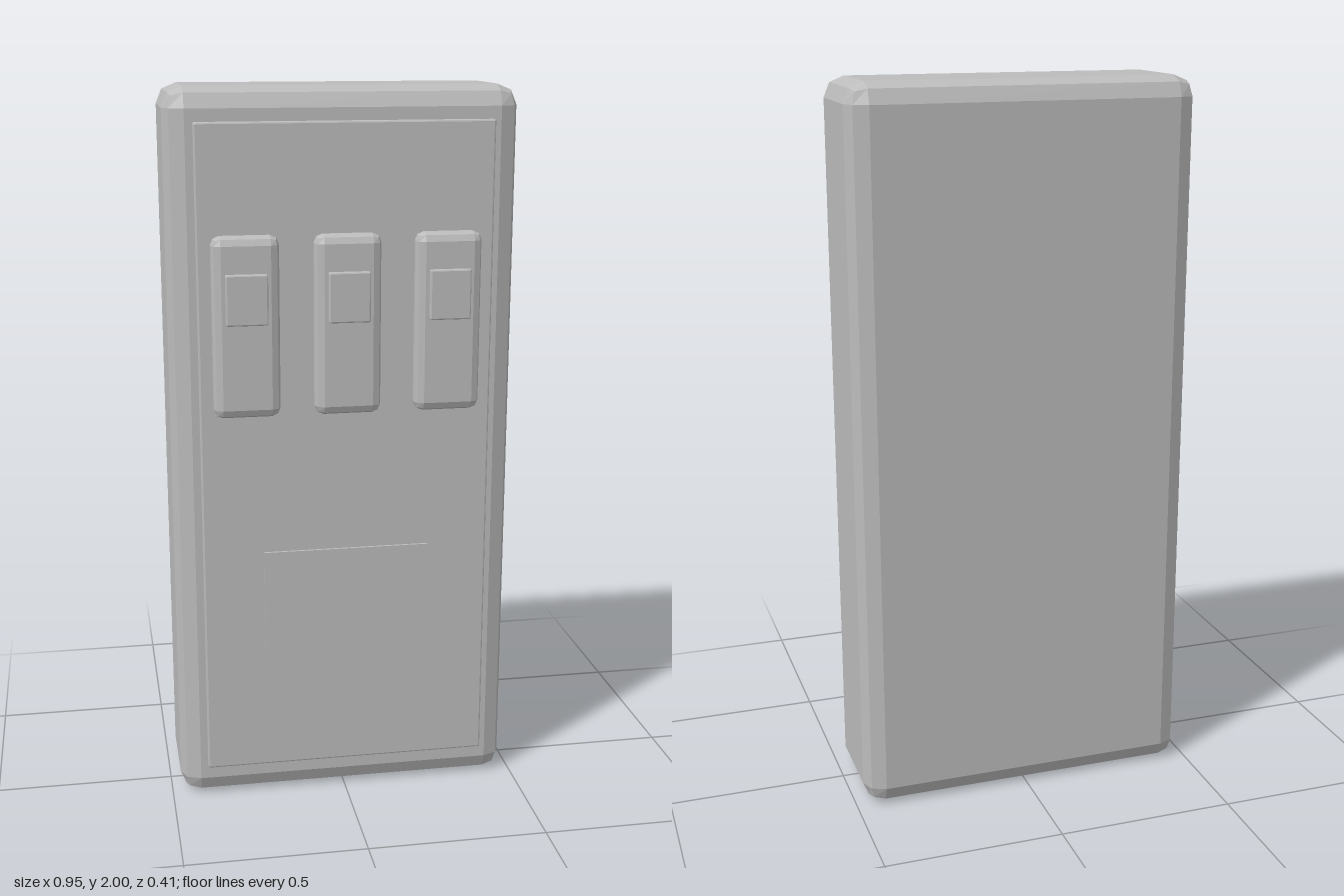
import * as THREE from 'three';
import { RoundedBoxGeometry } from 'three/addons/geometries/RoundedBoxGeometry.js';

const grey = new THREE.MeshStandardMaterial({ color: 0xbcbcbc });
grey.name = 'plain grey';

// Box with two flat facets along each edge, given by its min and max corners
function bevelledBox(name, min, max, radius) {
  const [w, h, d] = max.map((v, i) => v - min[i]);
  const geometry = new RoundedBoxGeometry(w, h, d, 1, radius);
  geometry.computeVertexNormals(); // unshared corners, so the facets stay flat
  const mesh = new THREE.Mesh(geometry, grey);
  mesh.name = name;
  mesh.position.set(...max.map((v, i) => (v + min[i]) / 2));
  return mesh;
}

export function createModel() {
  const model = new THREE.Group();
  model.name = 'switchBox';

  // Main housing and raised front plate
  model.add(bevelledBox('housing', [-0.475, 0, -0.208], [0.475, 2, 0.13], 0.055));
  model.add(bevelledBox('frontPlate', [-0.4, 0.097, 0.134], [0.4, 1.912, 0.154], 0.005));

  // Three switches, each with a small toggle
  for (const x of [-0.273, 0, 0.273]) {
    const unit = new THREE.Group();
    unit.name = 'switch';
    unit.position.x = x;
    unit.add(bevelledBox('switchBody', [-0.09, 1.135, 0.128], [0.09, 1.622, 0.191], 0.024));
    unit.add(bevelledBox('toggle', [-0.056, 1.39, 0.187], [0.056, 1.525, 0.206], 0.004));
    model.add(unit);
  }

  // Thin blank label near the bottom
  const label = new THREE.Mesh(new THREE.BoxGeometry(0.462, 0.283, 0.007), grey);
  label.name = 'label';
  label.position.set(-0.002, 0.607, 0.172);
  model.add(label);

  return model;
}
